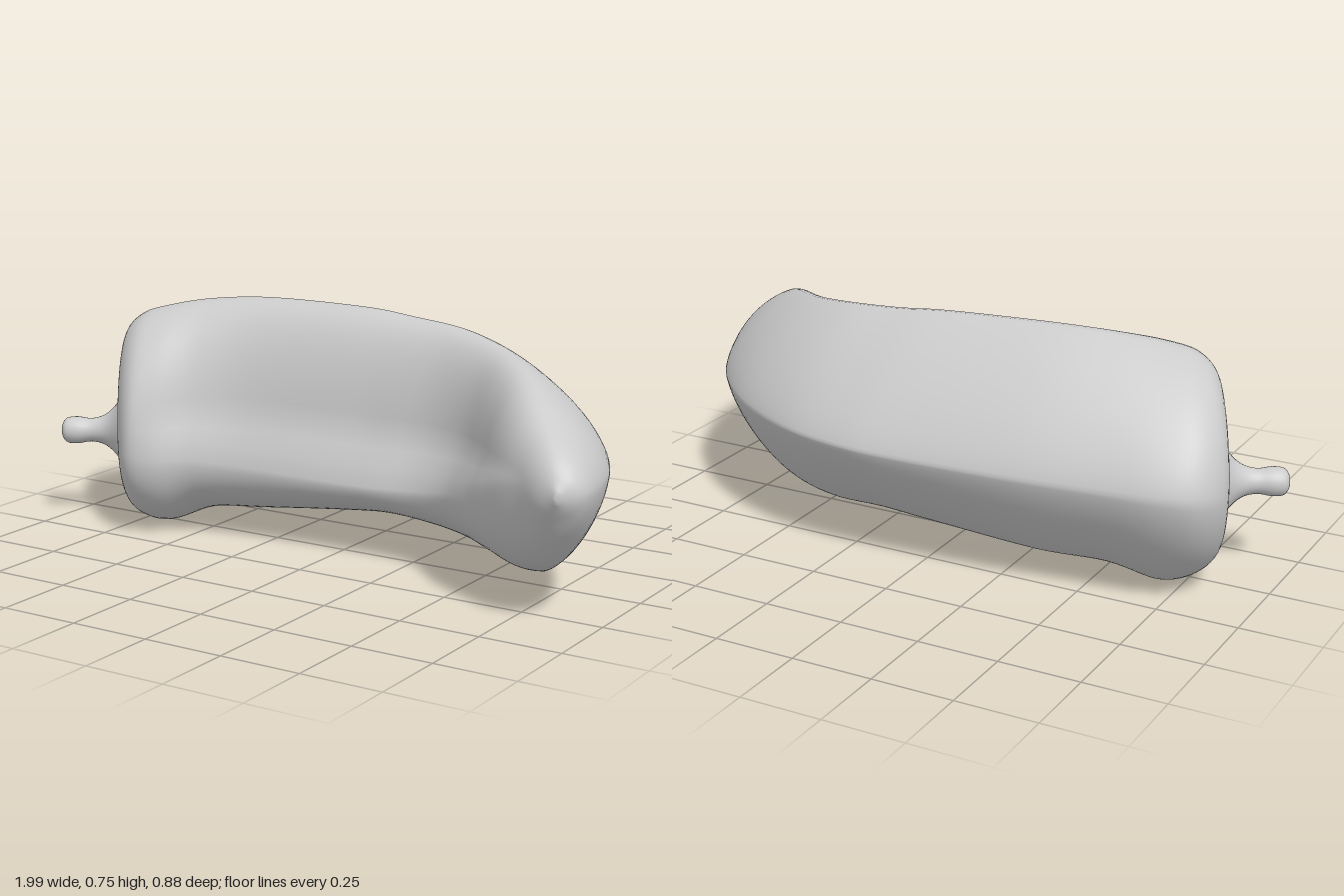
import * as THREE from 'three';

// Body cross-sections from stem end to tip:
// back x, z | front x, z, y | top y, bottom y
const SECTIONS = [
  [-0.845, 0.045, -0.835, 0.06, 0.32, 0.33, 0.31],
  [-0.89, -0.08, -0.765, 0.145, 0.31, 0.46, 0.18],
  [-0.92, -0.18, -0.71, 0.22, 0.29, 0.61, 0.08],
  [-0.88, -0.28, -0.64, 0.27, 0.27, 0.68, 0.02],
  [-0.78, -0.335, -0.56, 0.25, 0.26, 0.712, 0.0],
  [-0.6, -0.37, -0.46, 0.18, 0.26, 0.737, 0.05],
  [-0.35, -0.41, -0.3, 0.13, 0.25, 0.75, 0.065],
  [0, -0.44, 0, 0.1, 0.24, 0.745, 0.1],
  [0.2, -0.44, 0.15, 0.095, 0.24, 0.73, 0.113],
  [0.42, -0.39, 0.3, 0.095, 0.25, 0.715, 0.1],
  [0.65, -0.265, 0.42, 0.13, 0.27, 0.69, 0.09],
  [0.83, -0.09, 0.53, 0.21, 0.3, 0.66, 0.09],
  [0.93, 0.08, 0.62, 0.285, 0.34, 0.62, 0.105],
  [0.98, 0.22, 0.71, 0.345, 0.38, 0.57, 0.16],
  [1.0, 0.33, 0.8, 0.39, 0.4, 0.52, 0.25],
  [0.99, 0.39, 0.87, 0.425, 0.4, 0.47, 0.33],
  [0.95, 0.435, 0.935, 0.44, 0.4, 0.415, 0.385],
];

// Smooth lengthwise curve through one point of every section
const rail = (pick) => new THREE.CatmullRomCurve3(
  SECTIONS.map((s, i) => new THREE.Vector3(...pick(s, i / (SECTIONS.length - 1)))),
  false, 'catmullrom', 0.5);

// Point a fraction f of the way from back to front, at height y
const between = ([bx, bz, fx, fz], f, y) => [bx + (fx - bx) * f, y, bz + (fz - bz) * f];

// Loft of four curved quadrants between the back, top, front and bottom rails
function bodyGeometry(rows = 96, sides = 64) {
  const rails = [
    rail((s, t) => between(s, 0, 0.4 - 0.08 * (1 - t) ** 3)),
    rail((s) => between(s, 1, s[4])),
    rail((s) => between(s, 0.58, s[5])),
    rail((s, t) => between(s, 0.6 - 0.16 * Math.sin(Math.PI * t), s[6])),
  ];
  const pos = [], index = [];
  for (let i = 0; i <= rows; i++) {
    const t = i / rows;
    const [back, front, top, bottom] = rails.map((c) => c.getPoint(t));
    const bend = Math.sin(Math.PI * THREE.MathUtils.clamp((t - 0.2) / 0.7, 0, 1));
    const backPower = 2 - 0.74 * Math.sin(Math.PI * t);
    for (let j = 0; j < sides; j++) {
      const a = (j / sides) * Math.PI * 2;
      const c = Math.cos(a), s = Math.sin(a);
      const across = c >= 0 ? front : back, upright = s >= 0 ? top : bottom;
      const power = c < 0 ? backPower : 2 + 0.2 * bend;
      const m = Math.abs(s) ** (2 / power);
      // hollow above the lower lip on the inside of the bend
      const hollow = c > 0 && s > 0 ? 0.3 * bend * THREE.MathUtils.smoothstep(m, 0, 0.35) : 0;
      const k = Math.abs(c) ** (2 / power) * (1 - hollow);
      pos.push(
        upright.x + k * (across.x - upright.x),
        across.y + m * (upright.y - across.y),
        upright.z + k * (across.z - upright.z));
      if (i < rows) {
        const n = (j + 1) % sides, r = i * sides, q = r + sides;
        index.push(r + j, q + j, q + n, r + j, q + n, r + n);
      }
    }
  }
  // Close the two small end rings
  const last = rows * sides;
  for (let j = 1; j < sides - 1; j++) {
    index.push(0, j, j + 1, last, last + j + 1, last + j);
  }
  const g = new THREE.BufferGeometry();
  g.setAttribute('position', new THREE.Float32BufferAttribute(pos, 3));
  g.setIndex(index);
  g.computeVertexNormals();
  return g;
}

export function createModel() {
  const group = new THREE.Group();
  group.name = 'pepper';
  const material = new THREE.MeshStandardMaterial({ color: 0xcccccc });

  const body = new THREE.Mesh(bodyGeometry(), material);
  body.name = 'body';
  group.add(body);

  // Stem: flares out of the body, narrows, then ends in a small knob
  const profile = new THREE.SplineCurve([
    [0.15, -0.01], [0.085, 0.035], [0.05, 0.075], [0.038, 0.12],
    [0.044, 0.165], [0.04, 0.2], [0.02, 0.215], [0, 0.217],
  ].map(([r, y]) => new THREE.Vector2(r, y))).getPoints(28);
  const stem = new THREE.Mesh(new THREE.LatheGeometry(profile, 24), material);
  stem.name = 'stem';
  stem.position.set(-0.795, 0.295, 0.06);
  stem.quaternion.setFromUnitVectors(
    new THREE.Vector3(0, 1, 0), new THREE.Vector3(-0.19, -0.005, 0.105).normalize());
  group.add(stem);
  return group;
}
